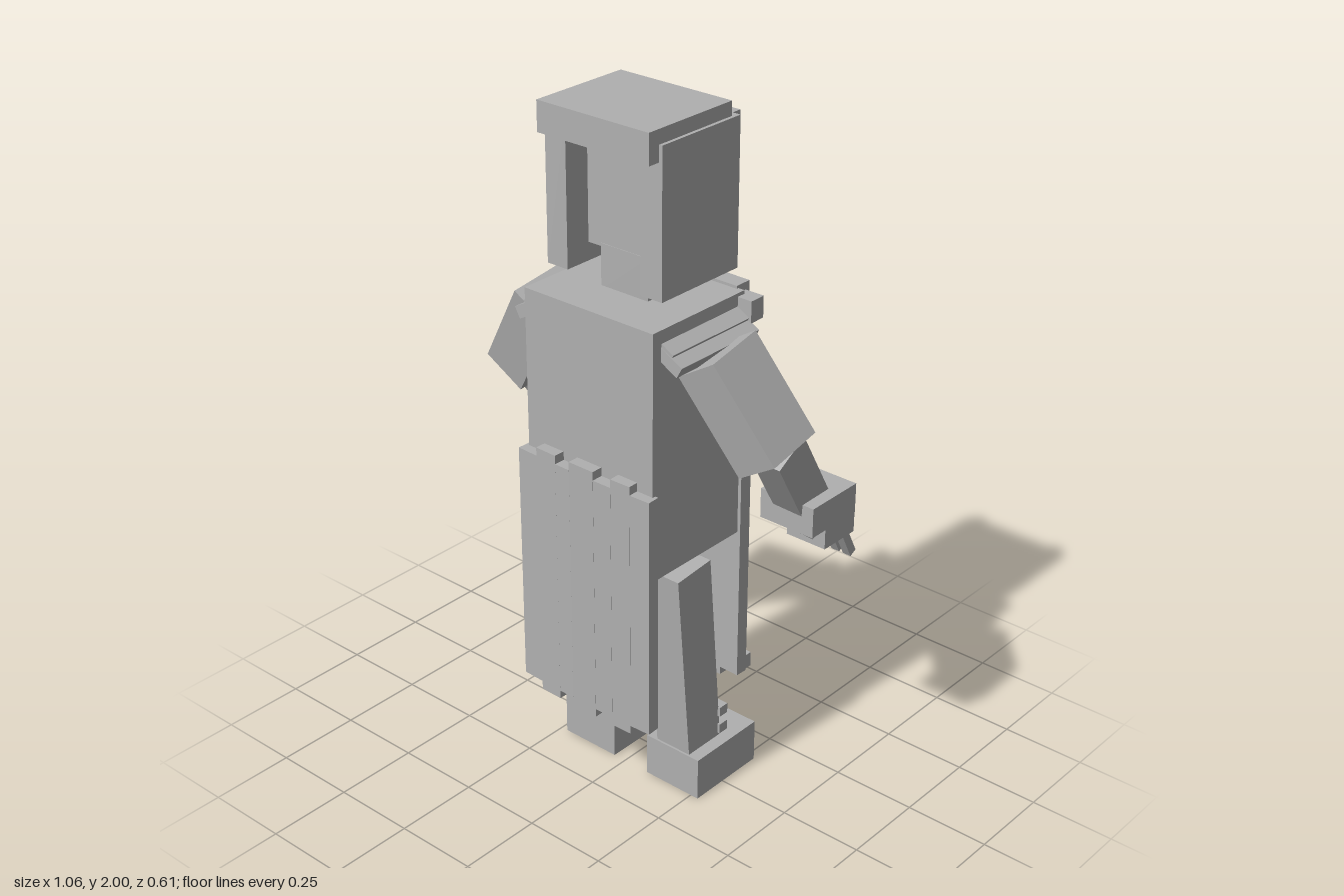
import * as THREE from 'three';

const V = (x, y, z) => new THREE.Vector3(x, y, z);

export function createModel() {
  const model = new THREE.Group();
  model.name = 'blockFigure';
  const grey = new THREE.MeshStandardMaterial({ color: 0xb0b0b0 });
  grey.name = 'grey';

  // everything mirrors about the figure's own middle, slightly off the origin
  const figure = new THREE.Group();
  figure.name = 'figure';
  figure.position.x = 0.023;
  model.add(figure);

  // box from its limits on each axis
  function block(name, x0, x1, y0, y1, z0, z1, parent = figure) {
    const mesh = new THREE.Mesh(new THREE.BoxGeometry(x1 - x0, y1 - y0, z1 - z0), grey);
    mesh.name = name;
    mesh.position.set((x0 + x1) / 2, (y0 + y1) / 2, (z0 + z1) / 2);
    parent.add(mesh);
    return mesh;
  }
  // block on one side, s = 1 or -1
  function sided(name, s, x0, x1, y0, y1, z0, z1) {
    return s > 0 ? block(name, x0, x1, y0, y1, z0, z1) : block(name, -x1, -x0, y0, y1, z0, z1);
  }
  // square-section limb running from a to b
  function limb(name, a, b, w, d) {
    const dir = b.clone().sub(a);
    const mesh = new THREE.Mesh(new THREE.BoxGeometry(w, dir.length(), d), grey);
    mesh.name = name;
    mesh.position.copy(a).add(b).multiplyScalar(0.5);
    mesh.quaternion.setFromUnitVectors(V(0, -1, 0), dir.normalize());
    figure.add(mesh);
    return mesh;
  }

  // head and neck
  block('neck', -0.08, 0.08, 1.48, 1.61, -0.053, 0.127);
  block('skull', -0.13, 0.13, 1.6, 1.905, -0.095, 0.125);
  block('hatTop', -0.185, 0.185, 1.915, 2.0, -0.07, 0.243);
  block('fringe', -0.12, 0.12, 1.865, 1.915, -0.12, -0.09);
  block('nose', -0.024, 0.024, 1.71, 1.8, -0.168, -0.09);
  block('mouth', -0.09, 0.09, 1.62, 1.68, -0.14, -0.09);

  // torso
  block('torso', -0.22, 0.22, 0.775, 1.492, -0.092, 0.268);
  block('collarTab', -0.045, 0.045, 1.42, 1.5, -0.12, -0.085);

  // skirt panels: upright strips bowed slightly outward, with teeth on both edges
  function skirtPanel(name, zIn, out) {
    const panel = new THREE.Group();
    panel.name = name;
    const edges = [-0.231, -0.163, -0.093, -0.043, 0.042, 0.102, 0.167, 0.231];
    for (let i = 0; i < 7; i++) {
      const tooth = i % 2 === 1;
      const mid = (edges[i] + edges[i + 1]) / 2;
      const z0 = zIn - out * 0.12 * mid * mid, z1 = z0 + out * 0.038;
      const strip = block('skirtStrip', edges[i], edges[i + 1], tooth ? 0.285 : 0.31,
        tooth ? 1.055 : 1.03, Math.min(z0, z1), Math.max(z0, z1), panel);
      strip.rotation.y = out * mid * 0.2;
    }
    figure.add(panel);
  }
  skirtPanel('rearSkirt', 0.264, 1);
  skirtPanel('frontSkirt', -0.089, -1);

  // row of trim blocks along the front hem
  for (let i = 0; i < 6; i++) {
    const x = -0.2 + i * 0.08;
    block('hemTrim', x - 0.027, x + 0.027, 0.31, 0.355, -0.148, -0.11);
  }

  for (const s of [1, -1]) {
    // hair and face
    sided('hairSide', s, 0.125, 0.195, 1.548, 1.96, -0.092, 0.205);
    sided('sideburn', s, 0.13, 0.17, 1.6, 1.96, -0.122, -0.085);
    sided('eye', s, 0.05, 0.11, 1.74, 1.8, -0.135, -0.09);
    sided('pupil', s, 0.065, 0.095, 1.755, 1.785, -0.152, -0.13);

    // coat straps with buttons
    sided('coatStrap', s, 0.115, 0.2, 0.9, 1.5, -0.137, -0.085);
    for (const y of [1.29, 1.135, 0.98]) {
      sided('button', s, 0.138, 0.19, y - 0.03, y + 0.03, -0.16, -0.13);
    }

    // shoulders
    sided('shoulderClasp', s, 0.205, 0.265, 1.42, 1.482, -0.115, -0.065);
    const pad = sided('shoulderPad', s, 0.2, 0.285, 1.395, 1.43, -0.07, 0.237);
    pad.rotation.z = -s * 0.5;
    const layer = sided('shoulderPadTop', s, 0.195, 0.255, 1.42, 1.45, -0.065, 0.235);
    layer.rotation.z = -s * 0.5;

    // arms
    limb('upperArm', V(s * 0.28, 1.395, 0.09), V(s * 0.443, 1.14, 0.04), 0.14, 0.18);
    limb('forearm', V(s * 0.438, 1.16, 0.035), V(s * 0.415, 0.87, -0.15), 0.095, 0.115);
    sided('cuff', s, 0.333, 0.507, 0.885, 0.972, -0.225, -0.038);

    // hands
    sided('palm', s, 0.35, 0.478, 0.797, 0.895, -0.265, -0.135);
    sided('knuckles', s, 0.365, 0.463, 0.815, 0.875, -0.28, -0.255);
    for (const x of [0.375, 0.414, 0.453]) {
      limb('finger', V(s * x, 0.83, -0.225), V(s * x, 0.715, -0.285), 0.026, 0.025);
    }

    // legs and boots
    limb('leg', V(s * 0.155, 0.725, 0.09), V(s * 0.155, 0.12, 0.036), 0.118, 0.135);
    sided('boot', s, 0.063, 0.252, 0, 0.13, -0.143, 0.111);
    for (const y of [0.155, 0.212]) {
      sided('lace', s, 0.088, 0.222, y - 0.015, y + 0.015, -0.053, -0.02);
    }
  }

  // tilted tablet held in one hand, with ridges on its outer face
  const tablet = new THREE.Group();
  tablet.name = 'tablet';
  block('tabletBoard', -0.118, 0.118, -0.154, 0.154, -0.025, 0.025, tablet);
  for (let i = 0; i < 4; i++) {
    const y = 0.09 - i * 0.062;
    block('tabletRidge', -0.068, 0.068, y - 0.01, y + 0.01, -0.041, -0.02, tablet);
  }
  tablet.position.set(-0.413, 0.88, -0.262);
  tablet.rotation.z = 0.18;
  figure.add(tablet);

  return model;
}
